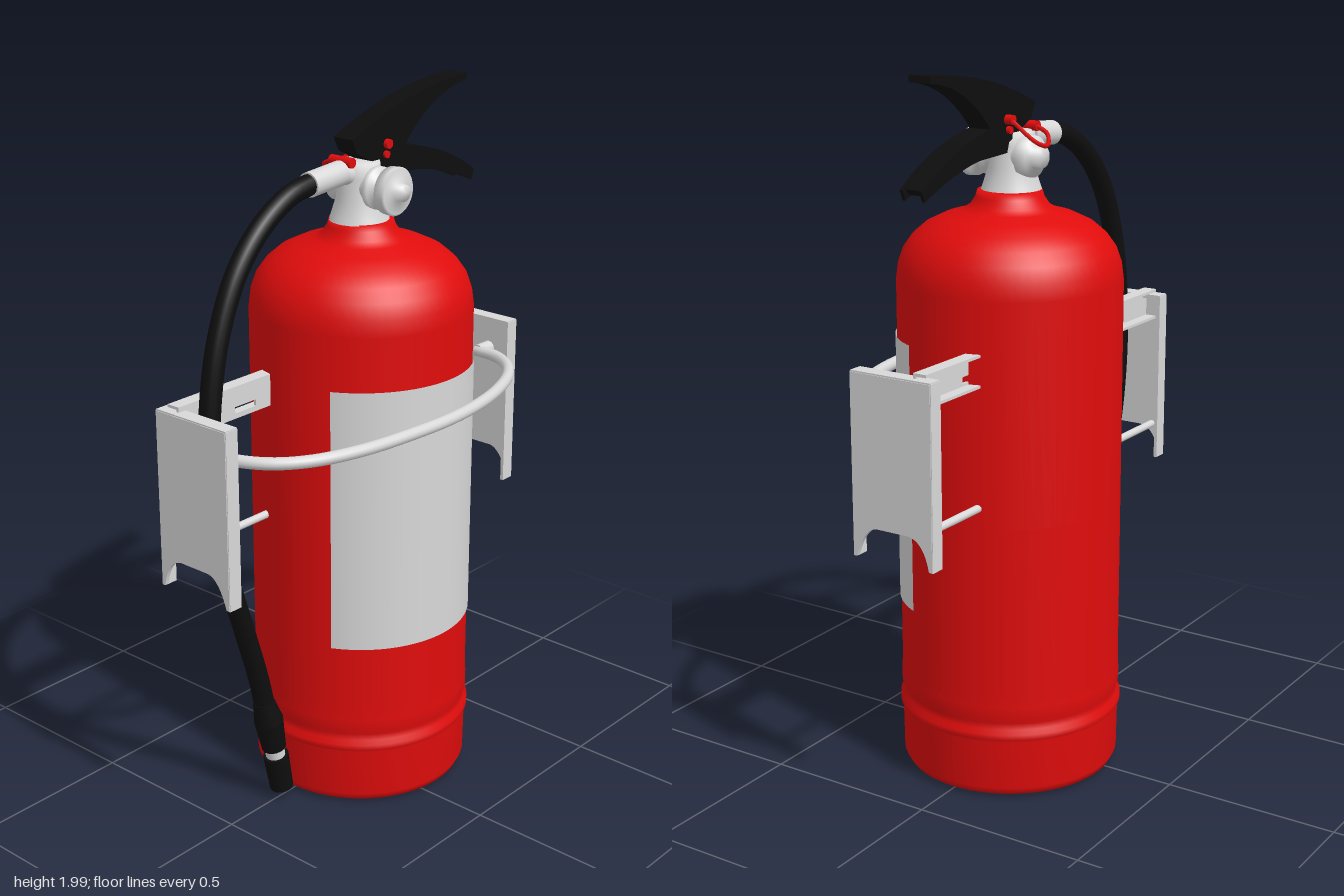
import * as THREE from 'three';

const CX = 0.055; // axis of the tank

export function createModel() {
  const model = new THREE.Group();
  model.name = 'fireExtinguisher';
  const mat = (name, color, side = THREE.FrontSide) => {
    const m = new THREE.MeshStandardMaterial({ color, side });
    m.name = name;
    return m;
  };
  const red = mat('red', 0xe00c0c);
  const grey = mat('lightGrey', 0xd8d8d8, THREE.DoubleSide);
  const black = mat('black', 0x0e0e0e);

  const add = (name, geo, material, x = 0, y = 0, z = 0) => {
    const mesh = new THREE.Mesh(geo, material);
    mesh.name = name;
    mesh.position.set(x, y, z);
    model.add(mesh);
    return mesh;
  };
  const v3 = (p) => new THREE.Vector3(...p);
  const lathe = (pts, seg = 32) => new THREE.LatheGeometry(pts.map((p) => new THREE.Vector2(...p)), seg);
  const tube = (pts, r, seg = 60, sides = 12) =>
    new THREE.TubeGeometry(new THREE.CatmullRomCurve3(pts.map(v3)), seg, r, sides);
  // cylinder between two points
  const rod = (name, a, b, ra, rb, material) => {
    const A = v3(a), B = v3(b), d = B.clone().sub(A);
    const m = add(name, new THREE.CylinderGeometry(rb, ra, d.length(), 20), material);
    m.position.copy(A).add(B).multiplyScalar(0.5);
    m.quaternion.setFromUnitVectors(new THREE.Vector3(0, 1, 0), d.normalize());
    return m;
  };
  // side outline extruded symmetrically about z
  const slab = (name, shape, width, material, z = 0) =>
    add(name, new THREE.ExtrudeGeometry(shape, { depth: width, bevelEnabled: false, curveSegments: 10 }), material, 0, 0, z - width / 2);

  // Tank with bead near the base and domed shoulder
  add('tank', lathe([
    [0, 0.012], [0.27, 0.01], [0.297, 0.018], [0.308, 0.04], [0.31, 0.18], [0.317, 0.19], [0.317, 0.205],
    [0.307, 0.217], [0.305, 0.235], [0.312, 0.25], [0.312, 0.285], [0.31, 0.31], [0.31, 0.8], [0.31, 1.42],
    [0.304, 1.465], [0.29, 1.505], [0.265, 1.54], [0.23, 1.57], [0.18, 1.594], [0.13, 1.608], [0.108, 1.622],
    [0.093, 1.645], [0.088, 1.663], [0, 1.663],
  ], 64), red, CX);

  // Wrapped label
  const half = 1.12;
  add('label', new THREE.CylinderGeometry(0.314, 0.314, 0.76, 40, 1, true, -half, half * 2), grey, CX, 0.89);

  // Valve neck and body
  add('valveNeck', lathe([[0.083, 1.66], [0.078, 1.675], [0.064, 1.72], [0.06, 1.78], [0.055, 1.82], [0, 1.82]]), grey, CX - 0.008);
  const turned = add('valveBodyAndGauge', lathe([
    [0, -0.105], [0.028, -0.105], [0.03, -0.08], [0.055, -0.078], [0.058, -0.045], [0.05, -0.04],
    [0.05, 0.05], [0.058, 0.055], [0.058, 0.072], [0.036, 0.075], [0.036, 0.1], [0.064, 0.102], [0.066, 0.128],
    [0.06, 0.134], [0.025, 0.136], [0.022, 0.158], [0, 0.16],
  ]), grey, 0.05, 1.755);
  turned.rotation.x = Math.PI / 2;

  // Hose and its fittings
  rod('hoseConnector', [-0.155, 1.79, 0], [-0.03, 1.8, 0], 0.034, 0.034, grey);
  rod('connectorNeck', [-0.04, 1.8, 0], [0.05, 1.78, 0], 0.026, 0.034, grey);
  add('hose', tube([
    [-0.14, 1.793, 0], [-0.23, 1.775, 0], [-0.34, 1.71, 0], [-0.43, 1.61, 0], [-0.495, 1.47, 0], [-0.53, 1.32, 0],
    [-0.543, 1.15, 0], [-0.53, 0.97, 0], [-0.49, 0.79, 0], [-0.435, 0.61, 0], [-0.38, 0.43, 0], [-0.345, 0.28, 0],
  ], 0.029, 80, 16), black);
  rod('nozzleSleeve', [-0.362, 0.35, 0], [-0.342, 0.28, 0], 0.03, 0.042, black);
  rod('nozzleTaper', [-0.342, 0.28, 0], [-0.322, 0.185, 0], 0.042, 0.035, black);
  rod('nozzleRing', [-0.324, 0.19, 0], [-0.31, 0.13, 0], 0.028, 0.028, grey);
  rod('nozzleTip', [-0.315, 0.155, 0], [-0.293, 0.042, 0], 0.037, 0.034, black);

  // Upper squeeze lever
  const lever = new THREE.Shape();
  lever.moveTo(-0.02, 1.89);
  lever.quadraticCurveTo(0.2, 1.99, 0.46, 2.0);
  lever.lineTo(0.462, 1.982);
  lever.quadraticCurveTo(0.31, 1.965, 0.2, 1.845);
  lever.lineTo(0.17, 1.78);
  lever.lineTo(0.1, 1.8);
  lever.lineTo(0.0, 1.85);
  slab('squeezeLever', lever, 0.066, black);

  // Lower carrying handle: two cheeks joined by a web
  const handle = (drop, end) => {
    const s = new THREE.Shape();
    s.moveTo(0.1, 1.83);
    s.lineTo(0.2, 1.84);
    s.quadraticCurveTo(0.38, 1.81, end, 1.72);
    s.lineTo(end - 0.012, 1.692 + drop);
    s.quadraticCurveTo(0.36, 1.75 + drop, 0.25, 1.765 + drop);
    s.lineTo(0.12, 1.77);
    return s;
  };
  slab('handleWeb', handle(0.012, 0.49), 0.054, black);
  for (const s of [-1, 1]) slab('handleCheek', handle(0, 0.505), 0.009, black, s * 0.03);

  // Safety pin, rivet and tether
  rod('safetyPin', [0.12, 1.858, -0.055], [0.12, 1.858, 0.045], 0.013, 0.013, red);
  rod('leverRivet', [0.115, 1.83, -0.045], [0.115, 1.83, 0.042], 0.01, 0.01, red);
  rod('sealPin', [-0.015, 1.827, -0.045], [-0.015, 1.827, 0.03], 0.014, 0.014, red);
  add('tether', tube([
    [-0.015, 1.827, -0.04], [-0.005, 1.81, -0.08], [0.04, 1.785, -0.108], [0.085, 1.8, -0.1], [0.12, 1.855, -0.05],
  ], 0.006, 24, 6), red);

  // Wall bracket, one side at a time
  for (const s of [-1, 1]) {
    const plate = new THREE.Shape();
    plate.moveTo(-0.125, 0.765);
    plate.lineTo(-0.115, 0.765);
    plate.quadraticCurveTo(-0.1, 0.845, -0.05, 0.85);
    plate.lineTo(0.05, 0.85);
    plate.quadraticCurveTo(0.09, 0.845, 0.115, 0.765);
    plate.lineTo(0.125, 0.765);
    plate.lineTo(0.125, 1.262);
    plate.lineTo(-0.125, 1.262);
    const web = add('bracketPlate', new THREE.ExtrudeGeometry(plate, { depth: 0.012, bevelEnabled: false }), grey, s * 0.604 + 0.006);
    web.rotation.y = -Math.PI / 2;
    for (const e of [-1, 1]) {
      add('plateRim', new THREE.BoxGeometry(0.042, 0.5, 0.01), grey, s * 0.587, 1.013, e * 0.122);
    }
    add('plateTop', new THREE.BoxGeometry(0.042, 0.012, 0.25), grey, s * 0.587, 1.26, 0);

    // Slotted channel running behind the tank
    const bar = new THREE.Shape([[0.2, 1.19], [0.59, 1.19], [0.59, 1.28], [0.2, 1.28]].map((p) => new THREE.Vector2(s * p[0], p[1])));
    bar.holes.push(new THREE.Path([[0.305, 1.205], [0.385, 1.205], [0.385, 1.223], [0.305, 1.223]].map((p) => new THREE.Vector2(s * p[0], p[1]))));
    slab('channelWeb', bar, 0.008, grey, -0.064);
    for (const y of [1.194, 1.276]) add('channelFlange', new THREE.BoxGeometry(0.39, 0.008, 0.04), grey, s * 0.395, y, -0.08);
    rod('lowerRod', [s * 0.2, 0.857, -0.09], [s * 0.6, 0.857, -0.09], 0.011, 0.011, grey);
    rod('hoopPivot', [s * 0.545, 1.16, 0.035], [s * 0.6, 1.16, 0.035], 0.02, 0.02, grey);
  }

  // Retaining hoop across the front
  add('retainingHoop', tube([
    [-0.553, 1.16, 0.025], [-0.54, 1.16, 0.1], [-0.495, 1.16, 0.18], [-0.41, 1.16, 0.245], [-0.27, 1.16, 0.292], [-0.1, 1.16, 0.315],
    [0.055, 1.16, 0.322], [0.2, 1.16, 0.308], [0.33, 1.16, 0.275], [0.44, 1.16, 0.225], [0.51, 1.16, 0.165], [0.545, 1.16, 0.1], [0.553, 1.16, 0.025],
  ], 0.017, 80, 12), grey);

  return model;
}
